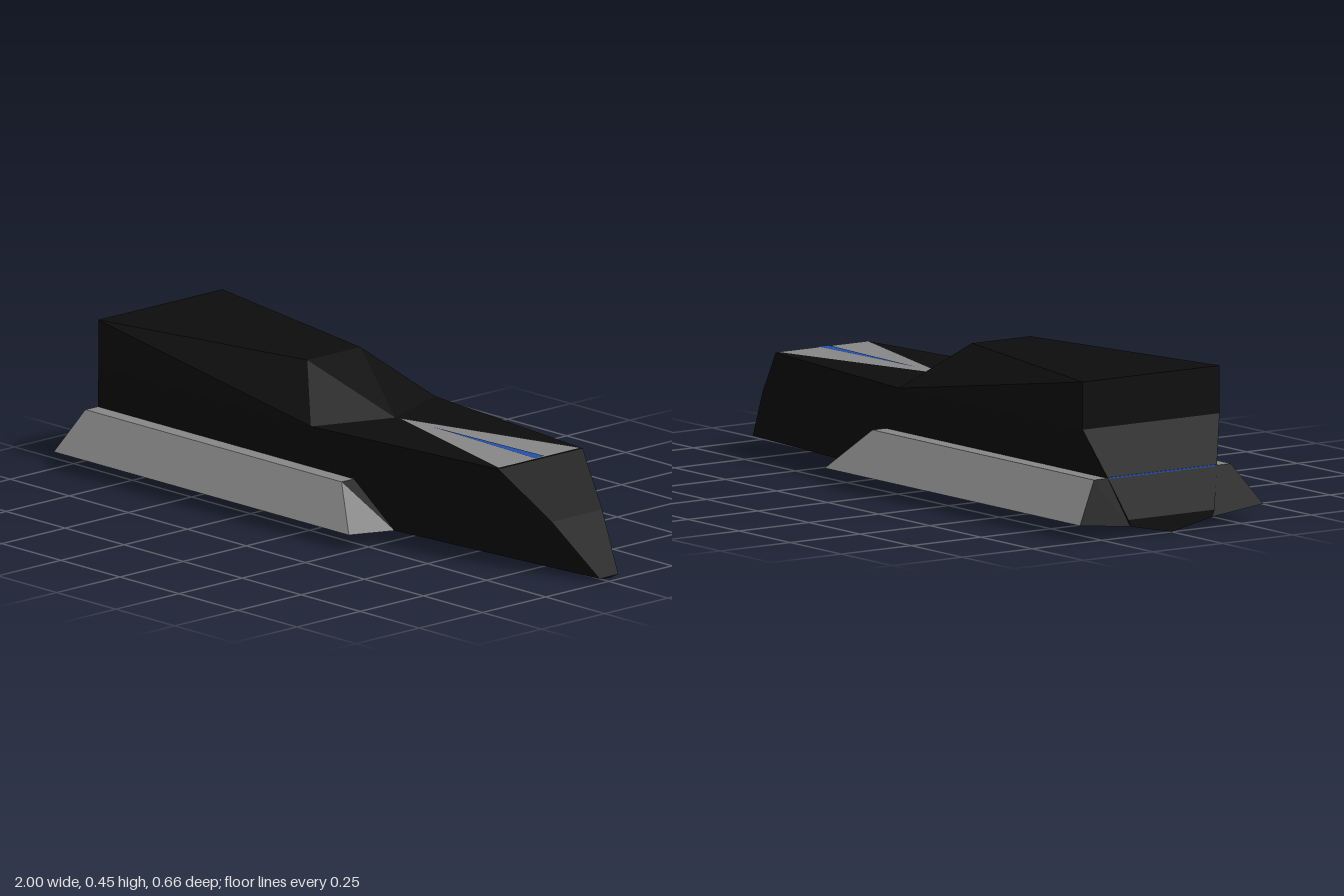
import * as THREE from 'three';
import { ConvexGeometry } from 'three/addons/geometries/ConvexGeometry.js';

const make = (name, color) => {
  const m = new THREE.MeshStandardMaterial({ color, side: THREE.DoubleSide });
  m.name = name;
  return m;
};

// Mirror points across the centre plane z = 0
const bothSides = pts => pts.flatMap(([x, y, z]) =>
  (z === 0 ? [[x, y, z]] : [[x, y, z], [x, y, -z]]));

function convexMesh(name, material, halfPoints) {
  const pts = bothSides(halfPoints).map(p => new THREE.Vector3(...p));
  const mesh = new THREE.Mesh(new ConvexGeometry(pts), material);
  mesh.name = name;
  return mesh;
}

// Flat-shaded mesh from convex polygons; side = -1 mirrors it in z
function panelMesh(name, material, polygons, side = 1) {
  const pos = [];
  for (const poly of polygons) {
    const p = poly.map(([x, y, z]) => [x, y, z * side]);
    if (side < 0) p.reverse();
    for (let i = 1; i < p.length - 1; i++) pos.push(...p[0], ...p[i], ...p[i + 1]);
  }
  const geo = new THREE.BufferGeometry();
  geo.setAttribute('position', new THREE.Float32BufferAttribute(pos, 3));
  geo.computeVertexNormals();
  const mesh = new THREE.Mesh(geo, material);
  mesh.name = name;
  return mesh;
}

export function createModel() {
  const black = make('hullBlack', 0x0d0d0d);
  const grey = make('panelGrey', 0x868686);
  const blue = make('stripeBlue', 0x2450a8);
  const model = new THREE.Group();
  model.name = 'wedgeCraft';

  // Faceted hull: keel, chine, sheer line and bent nose
  model.add(convexMesh('hull', black, [
    [-1, 0, 0], [0.25, 0, 0], [1, 0.01, 0],
    [-1, 0.03, 0.148], [0.25, 0.03, 0.148], [1, 0.015, 0.037],
    [-1, 0.05, 0.154], [-0.955, 0.17, 0.195],
    [-0.9, 0.31, 0.245], [0, 0.31, 0.245],
    [0.71, 0.31, 0.167], [0.865, 0.17, 0.1],
  ]));

  // Cabin with a top that narrows towards the sloped front
  model.add(convexMesh('cabin', black, [
    [-0.9, 0.31, 0.245], [-0.9, 0.45, 0.245],
    [0, 0.31, 0.245], [-0.165, 0.45, 0.105], [0.095, 0.31, 0],
  ]));

  // Side pods: grey outer, top and front faces, black underside and back
  const A = [-1, 0.05, 0.328], B = [0.25, 0.05, 0.328];
  const C = [0.13, 0.17, 0.245], D = [-0.955, 0.17, 0.245];
  const E = [-0.955, 0.17, 0.19], F = [0.13, 0.17, 0.19];
  const G = [0.25, 0.03, 0.148], H = [-1, 0.03, 0.148];
  for (const side of [1, -1]) {
    const pod = new THREE.Group();
    pod.name = side > 0 ? 'frontSidePod' : 'backSidePod';
    pod.add(panelMesh('podShell', grey, [[A, B, C, D], [D, C, F, E], [B, G, C]], side));
    pod.add(panelMesh('podUnderside', black, [[C, G, F], [A, H, G, B], [A, D, E, H]], side));
    model.add(pod);
  }

  // Deck wedge and the narrow stripe on it
  const wedge = (x0, x1, w, y) => [[[x0, y, 0], [x1, y, w], [x1, y, -w]]];
  model.add(panelMesh('deckPanel', grey, wedge(0.11, 0.707, 0.162, 0.312)));
  model.add(panelMesh('deckStripe', blue, wedge(0.25, 0.707, 0.019, 0.314)));

  // Fine line across the stern
  const line = new THREE.Mesh(new THREE.BoxGeometry(0.004, 0.004, 0.38), blue);
  line.name = 'sternLine';
  line.position.set(-0.955, 0.17, 0);
  model.add(line);

  return model;
}
